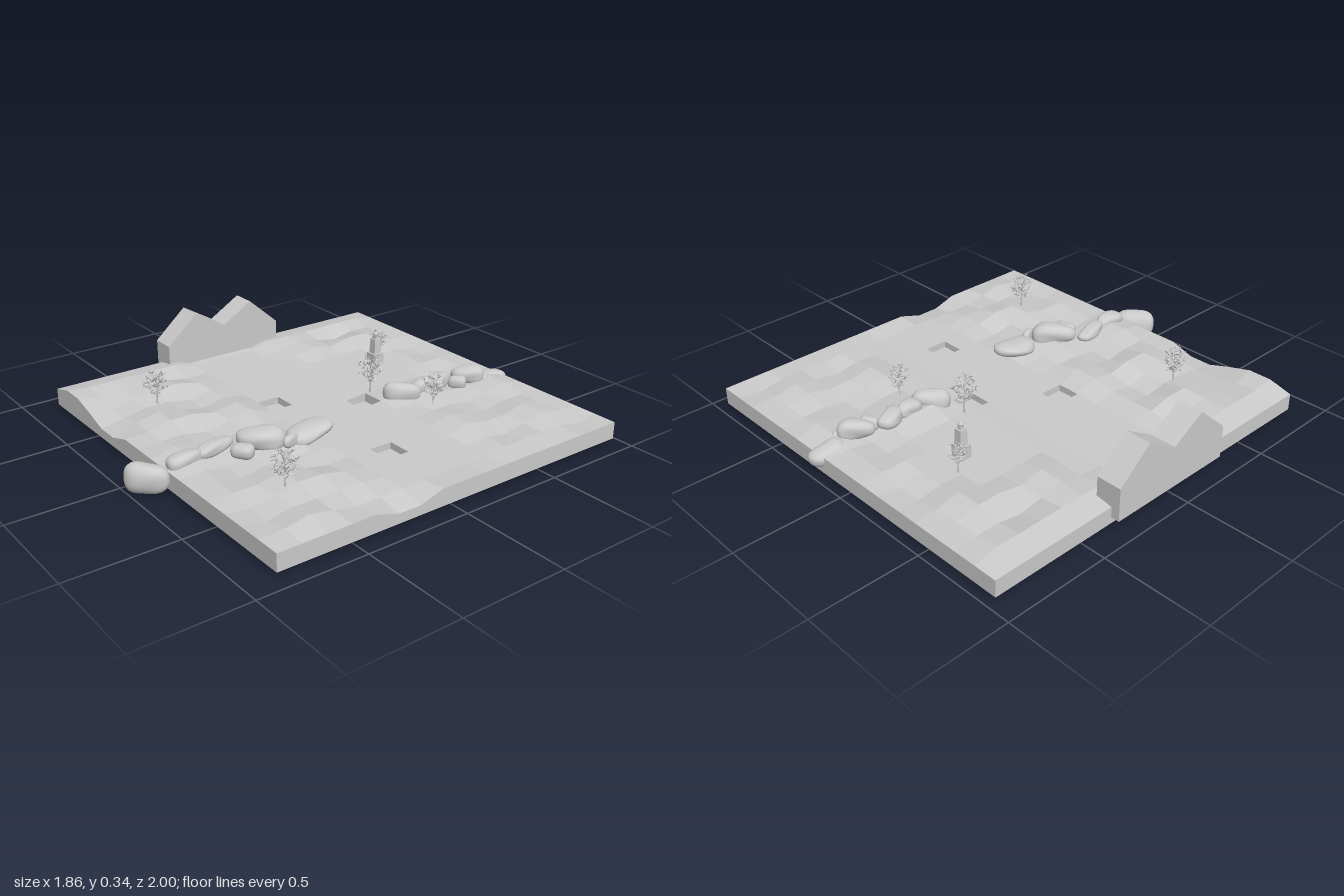
import * as THREE from 'three';
import { mergeGeometries } from 'three/addons/utils/BufferGeometryUtils.js';

const grey = new THREE.MeshStandardMaterial({ color: 0xcccccc });
const thin = new THREE.MeshStandardMaterial({ color: 0xcccccc, side: THREE.DoubleSide });

function add(parent, name, geometry, material = grey) {
  const mesh = new THREE.Mesh(geometry, material);
  mesh.name = name;
  parent.add(mesh);
  return mesh;
}

function seeded(seed) {
  return () => {
    seed = (seed * 16807) % 2147483647;
    return seed / 2147483647;
  };
}

function soup(points) {
  const g = new THREE.BufferGeometry();
  g.setAttribute('position', new THREE.Float32BufferAttribute(points.flat(), 3));
  return g;
}

const N = 16, X0 = -0.89, Z0 = -0.96, CX = 1.815 / N, CZ = 1.82 / N, BASE = 0.03;
const FRONT = [0.11, 0.14, 0.14, 0.11, 0.075, 0.075, 0.11];
const PITS = ['6,9', '8,6', '12,8'];

// Height of a ground grid point: level middle, gently stepped outside it
function height(i, j) {
  if (j === N) return FRONT[i] ?? 0.11;
  if (i === N) return j === 10 || j === 11 ? 0.075 : 0.11;
  if (i === 0 || j === 0) return 0.11;
  if (j > 6 && j < 11) return 0.1;
  if (i === 1) return 0.13;
  if (j === 6 || (i > 3 && i < 9 && j > 2 && j < 7)) return 0.11;
  const n = Math.sin(i * 1.9 + j * 0.7) + Math.sin(j * 1.7 - i * 0.6);
  return n > 0.6 ? 0.138 : n > -1 ? 0.115 : 0.095;
}

function groundGeometry() {
  const out = [], normals = [];
  // One shared normal keeps each cell evenly shaded
  const quad = (...corners) => {
    const [a, b, c, d] = corners.map(p => new THREE.Vector3(...p));
    const n = c.sub(a).cross(d.sub(b)).normalize().toArray();
    for (const k of [0, 1, 2, 0, 2, 3]) {
      out.push(corners[k]);
      normals.push(...n);
    }
  };
  const at = (i, j) => [X0 + i * CX, height(i, j), Z0 + j * CZ];
  const low = (p, y) => [p[0], y, p[2]];
  for (let i = 0; i < N; i++) {
    for (let j = 0; j < N; j++) {
      const ring = [at(i, j), at(i, j + 1), at(i + 1, j + 1), at(i + 1, j)];
      if (!PITS.includes(`${i},${j}`)) {
        quad(...ring);
        continue;
      }
      // Square pit: a floor and four inward walls
      const floor = ring.map(p => low(p, 0.068));
      quad(...floor);
      for (let k = 0; k < 4; k++) {
        const m = (k + 1) % 4;
        quad(floor[m], floor[k], ring[k], ring[m]);
      }
    }
    // Outer skirt
    const edges = [[at(i, N), at(i + 1, N)], [at(N, i + 1), at(N, i)],
      [at(i + 1, 0), at(i, 0)], [at(0, i), at(0, i + 1)]];
    for (const [a, b] of edges) quad(low(a, BASE), low(b, BASE), b, a);
  }
  quad(...[at(0, 0), at(N, 0), at(N, N), at(0, N)].map(p => low(p, BASE)));
  const g = soup(out);
  g.setAttribute('normal', new THREE.Float32BufferAttribute(normals, 3));
  return g;
}

// Smooth lumpy boulder, fuller than an ellipsoid
function rockGeometry(seed, rx, ry, rz) {
  const g = new THREE.SphereGeometry(1, 28, 20);
  const p = g.attributes.position;
  for (let i = 0; i < p.count; i++) {
    const v = new THREE.Vector3().fromBufferAttribute(p, i);
    const full = v.toArray().reduce((sum, c) => sum + Math.abs(c) ** 2.7, 0) ** (-1 / 2.7);
    const { x, y, z } = v.multiplyScalar(full);
    const width = 1 + 0.06 * Math.sin(2.3 * x + seed) + 0.06 * Math.sin(3.1 * y + 2.4 * z + seed * 2)
      + 0.15 * z * Math.cos(seed);
    p.setXYZ(i, rx * (x * width + 0.2 * (z * z - 0.4) * Math.sin(seed * 1.7)),
      ry * y * width, rz * z * (1 + 0.03 * Math.sin(3 * x + seed)));
  }
  g.computeVertexNormals();
  // Close the shading seam of the sphere
  const n = g.attributes.normal;
  for (let a = 0; a < n.count; a += 29) {
    const v = new THREE.Vector3().fromBufferAttribute(n, a)
      .add(new THREE.Vector3().fromBufferAttribute(n, a + 28)).normalize();
    n.setXYZ(a, v.x, v.y, v.z);
    n.setXYZ(a + 28, v.x, v.y, v.z);
  }
  return g;
}

// Small tree: a trunk, fanned branches and slender leaves
function treeGeometry(seed) {
  const rand = seeded(seed), parts = [], leaves = [], up = new THREE.Vector3(0, 1, 0);
  const stick = (a, b, r) => {
    const d = b.clone().sub(a);
    const g = new THREE.CylinderGeometry(r * 0.4, r, d.length(), 5).toNonIndexed();
    g.applyQuaternion(new THREE.Quaternion().setFromUnitVectors(up, d.clone().normalize()));
    g.translate(...a.clone().add(b).multiplyScalar(0.5).toArray());
    g.deleteAttribute('uv');
    parts.push(g);
  };
  stick(new THREE.Vector3(0, -0.03, 0), new THREE.Vector3(0, 0.12, 0), 0.004);
  for (let k = 0; k < 20; k++) {
    const t = k / 19, a = k * 2.4, spread = 0.045 * Math.sin(0.5 + t * 2.2);
    const start = new THREE.Vector3(0, 0.02 + t * 0.085, 0);
    // The crown leans out further towards the front right
    const end = new THREE.Vector3(Math.cos(a) * spread, start.y + 0.03 + 0.012 * t, Math.sin(a) * spread * 1.2);
    if (end.z > 0) end.z *= 1.15;
    if (end.x > 0) end.x *= 1.1;
    stick(start, end, 0.0018);
    for (let m = 0; m < 13; m++) {
      const root = start.clone().lerp(end, 0.4 + 0.6 * rand());
      const dir = new THREE.Vector3(rand() - 0.5, rand() - 0.3, rand() - 0.5).normalize();
      const tip = root.clone().addScaledVector(dir, 0.015 + 0.009 * rand());
      const side = new THREE.Vector3(rand() - 0.5, rand() - 0.5, rand() - 0.5).cross(dir).normalize();
      const mid = root.clone().lerp(tip, 0.45);
      const l = mid.clone().addScaledVector(side, 0.003), r = mid.clone().addScaledVector(side, -0.003);
      leaves.push(...[root, l, tip, root, tip, r].map(v => v.toArray()));
    }
  }
  const foliage = soup(leaves);
  foliage.computeVertexNormals();
  return mergeGeometries([...parts, foliage]);
}

export function createModel() {
  const model = new THREE.Group();
  model.name = 'landscapeTile';
  add(model, 'ground', groundGeometry());

  // Twin-gabled building on the right edge
  const profile = [[0.295, 0.06], [0.295, 0.215], [0.135, 0.355], [-0.025, 0.26], [-0.185, 0.355], [-0.345, 0.215], [-0.345, 0.06]];
  const shape = new THREE.Shape(profile.map(([z, y]) => new THREE.Vector2(-z, y)));
  const house = new THREE.ExtrudeGeometry(shape, { depth: 0.12, bevelEnabled: false });
  add(model, 'building', house.rotateY(Math.PI / 2).translate(-0.93, 0, 0));

  // Stone monument: plinth, tapering pillar, cap, ball
  const monument = new THREE.Group();
  monument.name = 'monument';
  monument.position.set(-0.23, 0.105, -0.54);
  model.add(monument);
  add(monument, 'plinth', new THREE.BoxGeometry(0.058, 0.07, 0.058).translate(0, 0.035, 0));
  const pillar = new THREE.CylinderGeometry(0.025, 0.029, 0.075, 4, 1).toNonIndexed();
  pillar.computeVertexNormals();
  add(monument, 'pillar', pillar.rotateY(Math.PI / 4).translate(0, 0.1075, 0));
  add(monument, 'cap', new THREE.BoxGeometry(0.02, 0.012, 0.02).translate(0, 0.15, 0));
  add(monument, 'ball', new THREE.SphereGeometry(0.013, 14, 10).translate(0, 0.166, 0));

  // Two chains of boulders: x, y, z, half sizes x, y, z, yaw, pitch
  const chains = {
    frontBoulder: [
      [0.245, 0.145, 0.22, 0.072, 0.032, 0.11, 0.05, 0.12],
      [0.287, 0.15, 0.345, 0.02, 0.026, 0.042, 0.4, 0],
      [0.205, 0.155, 0.44, 0.058, 0.048, 0.105, -0.7, 0],
      [0.225, 0.135, 0.545, 0.034, 0.034, 0.052, -1.0, 0],
      [0.118, 0.135, 0.615, 0.037, 0.028, 0.102, 0.3, 0],
      [0.137, 0.13, 0.77, 0.042, 0.036, 0.082, 0.05, 0.08],
      [0.095, 0.077, 0.922, 0.052, 0.064, 0.096, -0.92, 0],
    ],
    backBoulder: [
      [0.2, 0.092, -0.91, 0.055, 0.04, 0.084, 0.05, -0.12],
      [0.245, 0.125, -0.83, 0.015, 0.02, 0.03, 0.6, 0],
      [0.2, 0.145, -0.76, 0.042, 0.042, 0.08, -0.6, 0],
      [0.215, 0.13, -0.675, 0.028, 0.034, 0.044, -1.0, 0],
      [0.165, 0.145, -0.6, 0.04, 0.036, 0.075, 0.4, 0],
      [0.165, 0.145, -0.5, 0.036, 0.038, 0.062, 0.1, 0.1],
      [0.163, 0.14, -0.375, 0.042, 0.048, 0.085, -0.75, 0],
    ],
  };
  for (const [name, rocks] of Object.entries(chains)) {
    rocks.forEach(([x, y, z, rx, ry, rz, yaw, pitch], i) => {
      const rock = add(model, name + (i + 1), rockGeometry(i + 1, rx, ry, rz));
      rock.position.set(x, y, z);
      rock.rotation.set(pitch, yaw, 0, 'YXZ');
    });
  }

  // Trees: x, base height, z, scale
  const trees = [[-0.445, 0.13, 0.57, 1], [0.565, 0.135, 0.57, 1.08], [0.018, 0.135, -0.305, 1.08],
    [0.318, 0.13, -0.43, 0.93], [-0.307, 0.135, -0.625, 0.77]];
  trees.forEach(([x, y, z, s], i) => {
    const tree = add(model, 'tree' + (i + 1), treeGeometry(71 + i * 13), thin);
    tree.position.set(x, y, z);
    tree.scale.setScalar(s);
  });
  return model;
}
